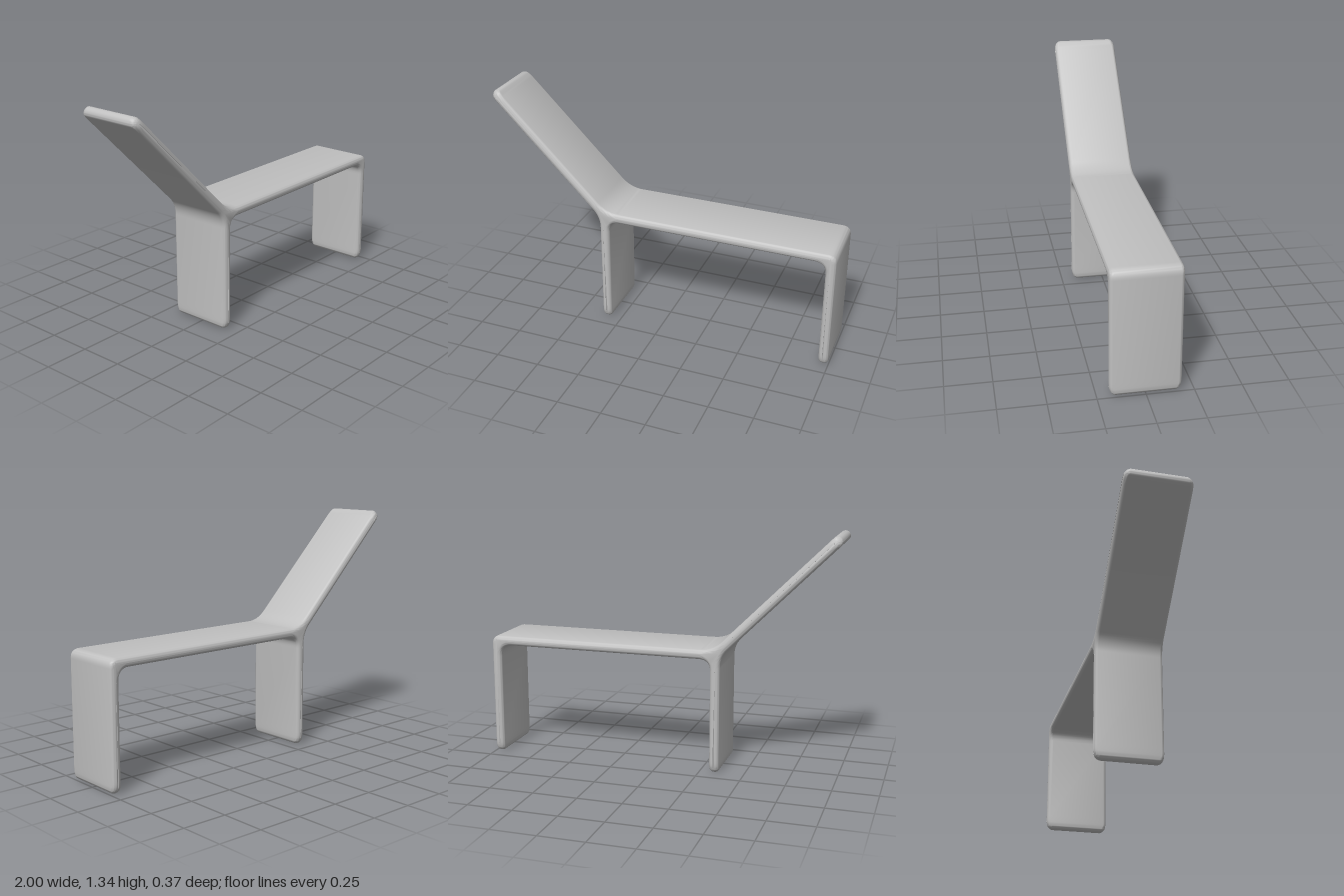
import * as THREE from 'three';
import { mergeVertices, toCreasedNormals } from 'three/addons/utils/BufferGeometryUtils.js';

const HALF = 0.028;      // half the slab thickness
const WIDTH = 0.374;     // slab width along z
const BEVEL = 0.024;     // rounding of the long edges
const TAPER = 0.06;      // length over which slab corners round off

// Free ends of the slabs: centre of the rounded end and its outward angle
const ends = {
  innerLeg: { c: new THREE.Vector2(-0.334, HALF), a: -Math.PI / 2 },
  outerLeg: { c: new THREE.Vector2(0.97, HALF), a: -Math.PI / 2 },
  back: { c: new THREE.Vector2(-0.97, 1.31), a: Math.PI * 0.75 },
};

const polar = (angle, r) => new THREE.Vector2(Math.cos(angle) * r, Math.sin(angle) * r);

// Half-round slab end, with a few points leading in and out along its sides
function roundedEnd({ c, a }) {
  const pts = [];
  const side = (s, back) => c.clone().add(polar(a + s * Math.PI / 2, HALF)).add(polar(a, -back));
  for (const back of [0.05, 0.03, 0.015]) pts.push(side(-1, back));
  for (let i = 0; i <= 14; i++) pts.push(c.clone().add(polar(a - Math.PI / 2 + Math.PI * i / 14, HALF)));
  for (const back of [0.015, 0.03, 0.05]) pts.push(side(1, back));
  return pts;
}

// Smooth bend at a corner, reaching r along the incoming and outgoing directions
function bend(x, y, inAngle, outAngle, r) {
  const corner = new THREE.Vector2(x, y);
  const curve = new THREE.QuadraticBezierCurve(
    corner.clone().add(polar(inAngle, -r)), corner, corner.clone().add(polar(outAngle, r)));
  return curve.getPoints(10);
}

export function createModel() {
  const group = new THREE.Group();
  group.name = 'loungeBench';
  const grey = new THREE.MeshStandardMaterial({ color: 0xc0c0c0 });
  grey.name = 'light grey';

  // Side outline, counterclockwise: leg, seat underside, leg, seat top, backrest
  const up = Math.PI / 2, left = Math.PI, slope = Math.PI * 0.75;
  const outline = [
    ...roundedEnd(ends.innerLeg),
    ...bend(-0.306, 0.645, up, 0, 0.065),
    ...bend(0.942, 0.645, 0, -up, 0.065),
    ...roundedEnd(ends.outerLeg),
    ...bend(0.998, 0.7, up, left, 0.05),
    ...bend(-0.32, 0.7, left, slope, 0.075),
    ...roundedEnd(ends.back),
    ...bend(-0.362, 0.662, slope - Math.PI, -up, 0.06),
  ];

  // Extrude across the width with rounded long edges
  const depth = WIDTH - 2 * BEVEL;
  let geo = new THREE.ExtrudeGeometry(new THREE.Shape(outline), {
    depth, steps: 1, bevelEnabled: true, bevelSize: BEVEL, bevelOffset: -BEVEL,
    bevelThickness: BEVEL, bevelSegments: 6,
  });
  geo.translate(0, 0, -depth / 2);

  // Narrow the slabs slightly at their free ends to round the corners
  const pos = geo.attributes.position;
  const p = new THREE.Vector2();
  for (let i = 0; i < pos.count; i++) {
    for (const { c, a } of Object.values(ends)) {
      p.set(pos.getX(i), pos.getY(i)).sub(c);
      const fromTip = HALF - p.dot(polar(a, 1));
      if (p.length() < 0.1 && fromTip < TAPER) {
        pos.setZ(i, pos.getZ(i) * (1 - 0.09 * (1 - fromTip / TAPER) ** 2));
      }
    }
  }
  geo.deleteAttribute('uv');
  geo.deleteAttribute('normal');
  geo = toCreasedNormals(mergeVertices(geo, 1e-5), 1.0);

  const body = new THREE.Mesh(geo, grey);
  body.name = 'seatLegsAndBackrest';
  group.add(body);
  return group;
}
